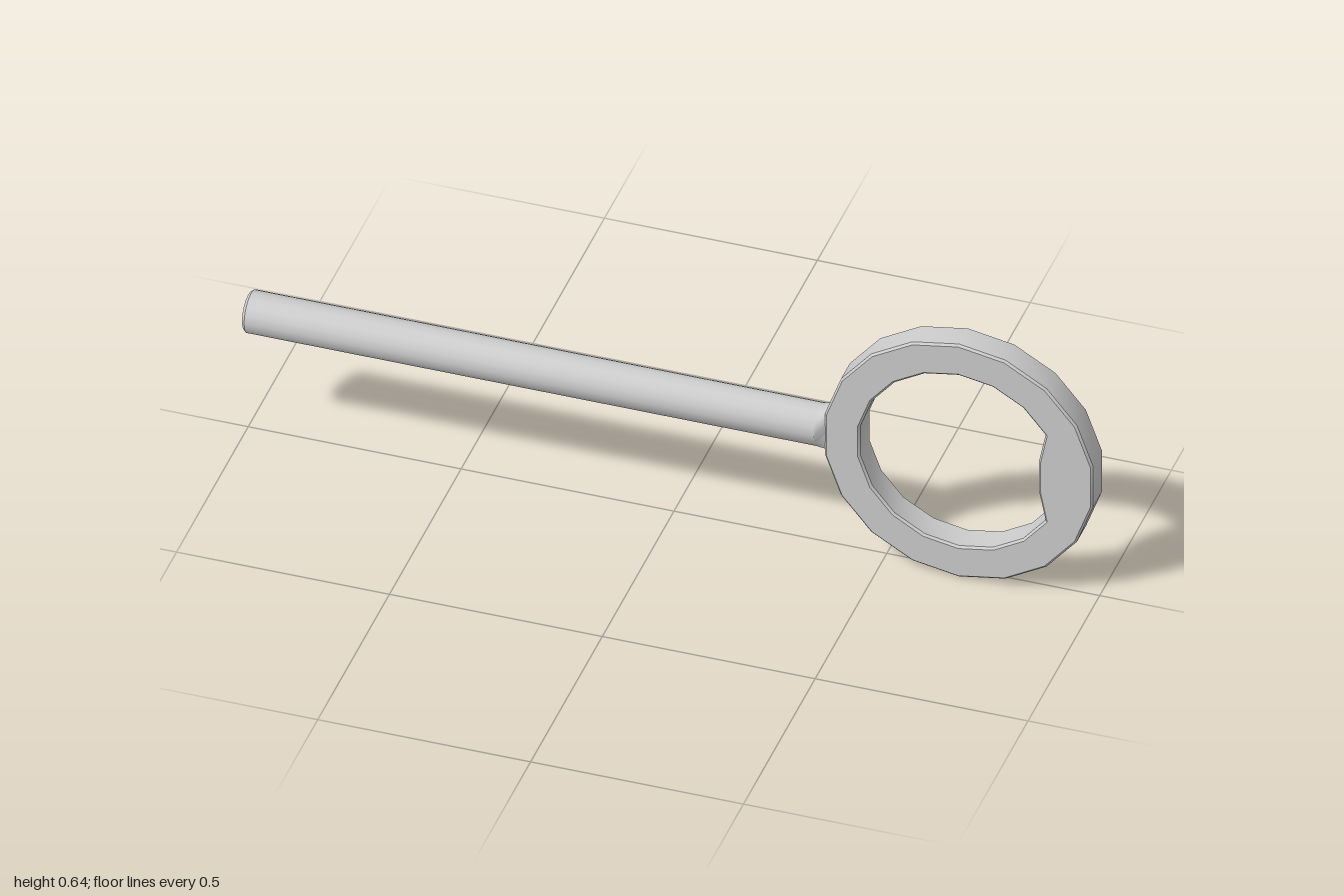
import * as THREE from 'three';
import { toCreasedNormals } from 'three/addons/utils/BufferGeometryUtils.js';

const CY = 0.325; // height of the shared axis
const RING_X = 0.68;
const SIDES = 18;
const material = new THREE.MeshStandardMaterial({ color: 0xcccccc });

function part(name, geometry) {
  const mesh = new THREE.Mesh(toCreasedNormals(geometry, 0.6), material);
  mesh.name = name;
  return mesh;
}

// Corners of a regular polygon with one corner at the top
function corners(radius) {
  return Array.from({ length: SIDES }, (_, i) => {
    const a = Math.PI / 2 + (i * Math.PI * 2) / SIDES;
    return new THREE.Vector2(radius * Math.cos(a), radius * Math.sin(a));
  });
}

// Bevelled ring whose opening is cut straight on the far side
function ringGeometry() {
  const shape = new THREE.Shape(corners(0.32));
  const opening = corners(0.235);
  for (const p of opening) {
    if (p.x > 0.21) p.x = 0.188;
  }
  shape.holes.push(new THREE.Path(opening.reverse()));
  const bevel = 0.005;
  const depth = 0.072 - 2 * bevel;
  const geometry = new THREE.ExtrudeGeometry(shape, {
    depth, bevelEnabled: true, bevelThickness: bevel,
    bevelSize: bevel, bevelOffset: -bevel, bevelSegments: 1,
  });
  return geometry.translate(0, 0, -depth / 2);
}

// Solid lofted along x; each section is [x, half height, half depth, squareness]
function loft(sections, n) {
  const positions = [], index = [];
  for (const [x, h, d, power] of sections) {
    for (let i = 0; i < n; i++) {
      const a = (i * Math.PI * 2) / n;
      const c = Math.cos(a), s = Math.sin(a);
      positions.push(x, h * Math.sign(c) * Math.abs(c) ** power, d * Math.sign(s) * Math.abs(s) ** power);
    }
  }
  for (let j = 0; j < sections.length - 1; j++) {
    for (let i = 0; i < n; i++) {
      const a = j * n + i, b = j * n + ((i + 1) % n);
      index.push(a, b, a + n, b, b + n, a + n);
    }
  }
  // End caps
  const last = (sections.length - 1) * n;
  for (let i = 1; i < n - 1; i++) {
    index.push(0, i + 1, i, last, last + i, last + i + 1);
  }
  const geometry = new THREE.BufferGeometry();
  geometry.setAttribute('position', new THREE.Float32BufferAttribute(positions, 3));
  geometry.setIndex(index);
  return geometry;
}

export function createModel() {
  const group = new THREE.Group();
  group.name = 'ringHandledRod';

  const ring = part('ring', ringGeometry());
  ring.position.set(RING_X, CY, 0);

  // Round rod with a small chamfer at the free end
  const rod = part('rod', loft([
    [-1, 0.044, 0.044, 1],
    [-0.993, 0.05, 0.05, 1],
    [0.345, 0.05, 0.05, 1],
  ], 16));
  rod.position.y = CY;

  // Short neck flattening from the rod to the ring's thickness
  const neck = part('neck', loft([
    [0.345, 0.05, 0.05, 1],
    [0.367, 0.055, 0.033, 0.6],
    [0.4, 0.06, 0.033, 0.5],
  ], 16));
  neck.position.y = CY;

  group.add(ring, rod, neck);
  return group;
}
